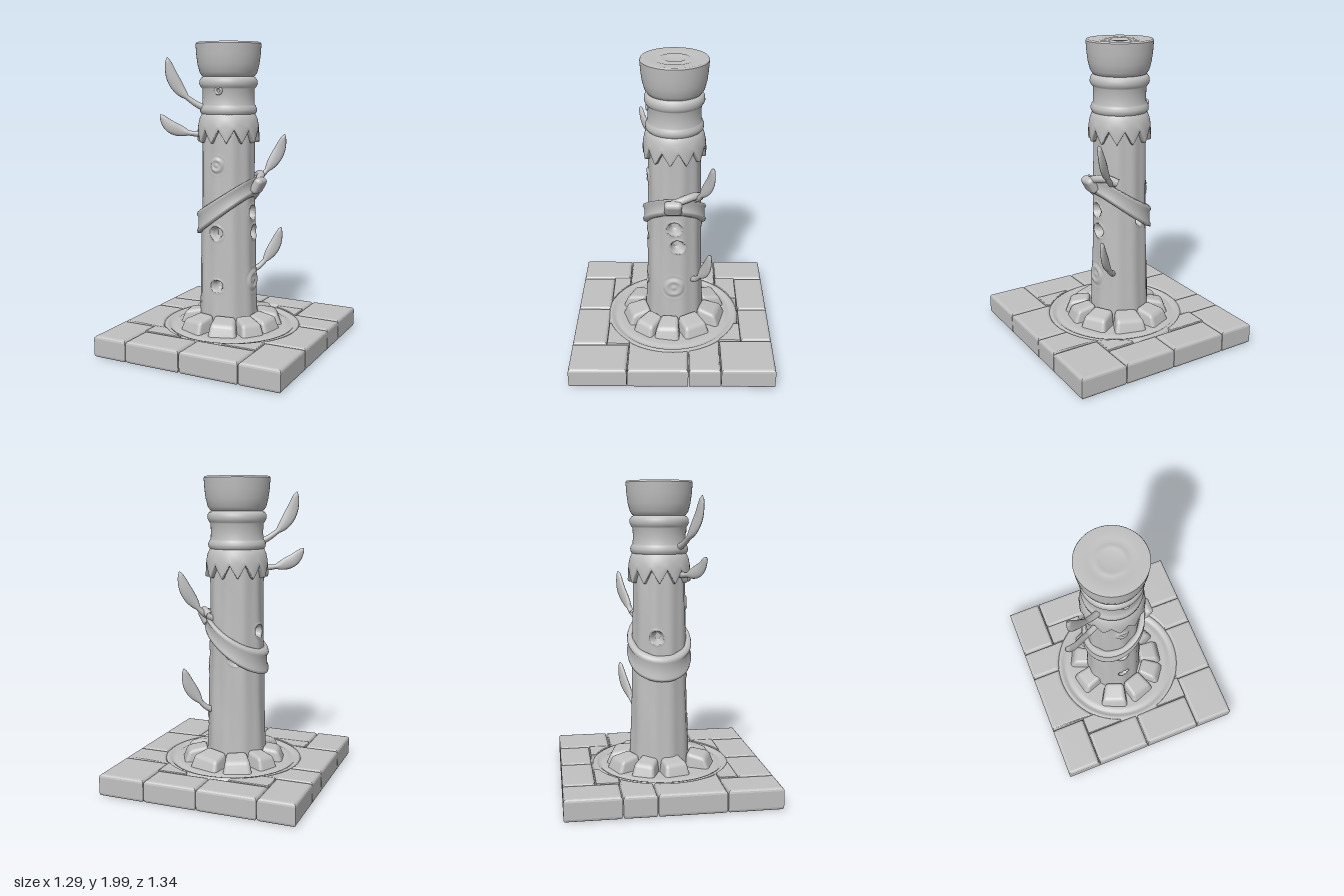
import * as THREE from 'three';
import { mergeVertices } from 'three/addons/utils/BufferGeometryUtils.js';
import { RoundedBoxGeometry } from 'three/addons/geometries/RoundedBoxGeometry.js';

const stone = new THREE.MeshStandardMaterial({ color: 0xc0c0c0 });
stone.name = 'plain grey';

const add = (parent, name, geometry) => {
  const mesh = new THREE.Mesh(geometry, stone);
  mesh.name = name;
  parent.add(mesh);
  return mesh;
};

// Moves every vertex by a rule and smooths the result
function reshape(geometry, rule) {
  geometry.deleteAttribute('uv');
  geometry.deleteAttribute('normal');
  const g = mergeVertices(geometry, 1e-5);
  const p = g.attributes.position, v = new THREE.Vector3();
  for (let i = 0; i < p.count; i++) {
    rule(v.fromBufferAttribute(p, i));
    p.setXYZ(i, v.x, v.y, v.z);
  }
  g.computeVertexNormals();
  return g;
}

const lathe = (profile, segments = 64) =>
  new THREE.LatheGeometry(profile.map(([r, y]) => new THREE.Vector2(r, y)), segments);

// Paving block from a plan outline in x and z
function paving(outline, bevel = 0.02) {
  const shape = new THREE.Shape(outline.map(([x, z]) => new THREE.Vector2(x, z)));
  const g = new THREE.ExtrudeGeometry(shape, {
    depth: 0.143 - bevel * 2, bevelThickness: bevel, bevelSize: bevel, bevelOffset: -bevel, bevelSegments: 3,
  });
  g.rotateX(Math.PI / 2);
  g.translate(0, 0.15 - bevel, 0);
  return g;
}

// Points along the plinth edge between two depths, on one side
const arc = (side, z0, z1) => Array.from({ length: 13 }, (_, i) => {
  const z = z0 + (z1 - z0) * i / 12;
  return [side * Math.sqrt(0.45 ** 2 - z * z), z];
});

// Leaf on a stem: flat oval sections swept along a curve in an upright plane
function leaf(points) {
  const curve = new THREE.CatmullRomCurve3(points.map((p) => new THREE.Vector3(...p)));
  const side = new THREE.Vector3().subVectors(curve.getPoint(1), curve.getPoint(0)).setY(0)
    .normalize().cross(new THREE.Vector3(0, 1, 0));
  const rows = 28, cols = 12, pos = [], index = [];
  for (let i = 0; i <= rows; i++) {
    const t = i / rows, p = curve.getPoint(t);
    const up = side.clone().cross(curve.getTangent(t)).normalize();
    const blade = t < 0.35 || i === rows ? 0 : Math.pow(Math.sin(Math.PI * (t - 0.35) / 0.65), 0.6);
    const width = i === rows ? 0.002 : Math.max(0.023 * (1 - t * 0.8), 0.041 * blade);
    const thick = i === rows ? 0.002 : 0.022 - 0.009 * t;
    for (let j = 0; j < cols; j++) {
      const a = (j / cols) * Math.PI * 2;
      const q = p.clone().addScaledVector(side, Math.cos(a) * thick).addScaledVector(up, Math.sin(a) * width);
      pos.push(q.x, q.y, q.z);
      if (i < rows) {
        const b = i * cols + j, c = i * cols + (j + 1) % cols;
        index.push(b, b + cols, c, c, b + cols, c + cols);
      }
    }
  }
  for (let j = 1; j < cols - 1; j++) {
    index.push(0, j, j + 1);
    index.push(rows * cols, rows * cols + j + 1, rows * cols + j);
  }
  const g = new THREE.BufferGeometry();
  g.setAttribute('position', new THREE.Float32BufferAttribute(pos, 3));
  g.setIndex(index);
  g.computeVertexNormals();
  return g;
}

export function createModel() {
  const model = new THREE.Group();
  model.name = 'stonePost';

  // Square paved base
  const base = new THREE.Group();
  base.name = 'base';
  model.add(base);
  const X = 0.645, Z = 0.67;
  const rects = [
    [-X, -0.41, -Z, -0.32], [-0.405, -0.022, -Z, -0.465], [-0.018, 0.33, -Z, -0.465], [0.335, X, -Z, -0.32],
    [-X, -0.41, 0.322, Z], [-0.405, -0.027, 0.44, Z], [-0.02, 0.372, 0.44, Z], [0.377, X, 0.293, Z],
  ];
  for (const [x0, x1, z0, z1] of rects)
    add(base, 'pavingBlock', paving([[x0, z0], [x1, z0], [x1, z1], [x0, z1]]));
  for (const [s, z0, z1] of [[-1, -0.315, -0.11], [-1, -0.105, 0.317], [1, -0.315, -0.11], [1, -0.105, 0.288]])
    add(base, 'sidePavingBlock', paving([[s * X, z0], ...arc(s, z0, z1), [s * X, z1]]));

  // Corner infill between the paving and the plinth
  for (const [x, z0, z1] of [[-0.407, -0.316, -0.462], [0.332, -0.316, -0.462], [-0.407, 0.318, 0.438], [0.374, 0.289, 0.438]]) {
    const edge = arc(Math.sign(x), z0, Math.sign(z1) * 0.425);
    add(base, 'cornerInfill', paving([[x, z0], ...edge, [edge[12][0], z1], [x, z1]], 0.004));
  }

  // Round plinth with a raised rim
  add(base, 'plinth', lathe([[0, 0.02], [0.455, 0.02], [0.46, 0.03], [0.462, 0.12], [0.455, 0.138], [0.44, 0.147],
    [0.422, 0.142], [0.41, 0.132], [0.395, 0.132], [0.38, 0.14], [0.36, 0.142], [0, 0.142]], 96));

  // Rocks round the foot: x, z, width
  const rocks = [[-0.13, -0.265, 0.19], [0.06, -0.27, 0.21], [0.22, -0.14, 0.2], [0.25, 0.03, 0.17],
    [0.205, 0.165, 0.16], [0.065, 0.25, 0.2], [-0.125, 0.25, 0.19], [-0.26, 0.05, 0.18], [-0.25, -0.13, 0.16]];
  rocks.forEach(([x, z, w], i) => {
    const g = reshape(new RoundedBoxGeometry(w, 0.13, 0.17, 3, 0.03), (v) => {
      const top = (v.y + 0.065) / 0.13, out = (v.z + 0.085) / 0.17;
      v.x *= (1 - 0.2 * top) * (0.85 + 0.2 * out) + 0.06 * Math.sin(i * 2.3) * out;
      v.z -= 0.04 * top * out;
      v.y -= 0.025 * top * out + 0.08 * v.x * Math.sin(i * 1.7);
    });
    const rock = add(base, 'footRock', g);
    rock.position.set(x, 0.175, z);
    rock.rotation.y = Math.atan2(x + 0.02, z + 0.01);
  });

  const post = new THREE.Group();
  post.name = 'post';
  post.position.set(-0.03, 0, -0.012);
  model.add(post);

  // Trunk with hollows and raised knots: angle from front, y, radius, kind
  const marks = [[0, 0.78, 0.042, 'hole'], [0.05, 0.43, 0.037, 'hole'], [1.58, 0.905, 0.045, 'hole'],
    [1.7, 0.77, 0.045, 'hole'], [-1.8, 1.02, 0.04, 'hole'], [-2.85, 0.85, 0.04, 'hole'],
    [0, 1.22, 0.07, 'knot'], [1.56, 0.45, 0.1, 'knot']];
  const profile = [];
  for (let i = 0; i <= 180; i++)
    profile.push([0.169 + 0.028 * Math.pow(1 - i / 180, 2), 0.12 + 1.45 * i / 180]);
  add(post, 'trunk', reshape(lathe(profile, 120), (v) => {
    const a = Math.atan2(v.x, v.z), r = Math.hypot(v.x, v.z);
    let d = 0.003 * Math.cos(a * 10) + 0.002 * Math.sin(a * 4 + v.y * 9);
    for (const [angle, y, size, kind] of marks) {
      const da = Math.atan2(Math.sin(a - angle), Math.cos(a - angle));
      const t = Math.hypot(da * r, v.y - y) / size;
      if (kind === 'hole') {
        if (t < 1) d -= 0.06 * Math.min(1, (1 - t) * 4);
        else if (t < 1.4) d += 0.006 * (1.4 - t) / 0.4;
      } else if (t < 1) d += 0.007 + 0.004 * Math.cos(t * 4 * Math.PI) - 0.011 * t ** 4;
    }
    v.x *= (r + d) / r;
    v.z *= (r + d) / r;
  }));

  // Pointed fringe below the neck
  add(post, 'fringe', reshape(lathe([[0.16, 1.43], [0.192, 1.43], [0.203, 1.435], [0.198, 1.47], [0.19, 1.51],
    [0.175, 1.545], [0.15, 1.56], [0.15, 1.5], [0.16, 1.43]], 144), (v) => {
    const tooth = Math.abs(((Math.atan2(v.x, v.z) / (Math.PI * 2) * 12 + 12.25) % 1) * 2 - 1);
    if (v.y < 1.45) v.y += 0.015 - 0.085 * tooth;
  }));

  // Neck with two rings
  add(post, 'neck', lathe([[0.15, 1.53], [0.172, 1.54], [0.184, 1.555], [0.186, 1.575], [0.178, 1.595], [0.17, 1.605],
    [0.168, 1.65], [0.17, 1.705], [0.18, 1.715], [0.19, 1.735], [0.188, 1.76], [0.178, 1.775], [0.16, 1.785], [0.15, 1.8]]));
  const scar = add(post, 'neckKnot', new THREE.TorusGeometry(0.02, 0.009, 8, 20));
  scar.position.set(0.015, 1.695, 0.17);

  // Flared cap with a shallow ringed top
  add(post, 'cap', lathe([[0.14, 1.775], [0.17, 1.785], [0.187, 1.81], [0.2, 1.86], [0.208, 1.92], [0.213, 1.99]]));
  add(post, 'capTop', lathe([[0.213, 1.99], [0.207, 2], [0.13, 1.996], [0.11, 1.99], [0.095, 1.996], [0.07, 1.996],
    [0.055, 1.989], [0, 1.989]]));

  // Slanted sash with rolled edges
  add(post, 'sash', reshape(lathe([[0.155, -0.068], [0.19, -0.07], [0.207, -0.063], [0.211, -0.045], [0.201, -0.03], [0.2, 0.028],
    [0.211, 0.042], [0.206, 0.06], [0.188, 0.066], [0.155, 0.063], [0.155, -0.068]], 80), (v) => {
    v.y = v.y * (1 - 0.8 * v.x) + 0.935 + 0.68 * v.x + 0.4 * v.x * v.x;
  }));
  const knot = add(model, 'sashKnot', new RoundedBoxGeometry(0.06, 0.11, 0.115, 4, 0.026));
  knot.position.set(0.19, 1.085, -0.005);
  knot.rotation.z = -0.5;
  const strand = new THREE.CatmullRomCurve3([[0.185, 1.11, 0], [0.175, 1.135, -0.07], [0.14, 1.145, -0.14], [0.09, 1.12, -0.18]]
    .map((p) => new THREE.Vector3(...p)));
  add(model, 'sashEnd', new THREE.TubeGeometry(strand, 24, 0.026, 10));

  // Leaves on short stems
  const leaves = [
    [[-0.13, 1.57, 0.08], [-0.21, 1.615, 0.12], [-0.285, 1.685, 0.155], [-0.335, 1.78, 0.185], [-0.365, 1.905, 0.2]],
    [[-0.13, 1.42, 0.08], [-0.2, 1.415, 0.115], [-0.28, 1.43, 0.155], [-0.35, 1.465, 0.195], [-0.41, 1.54, 0.22]],
    [[0.08, 1.09, -0.12], [0.14, 1.13, -0.165], [0.19, 1.2, -0.2], [0.235, 1.29, -0.235], [0.27, 1.405, -0.25]],
    [[0.08, 0.48, -0.12], [0.13, 0.51, -0.16], [0.18, 0.58, -0.195], [0.22, 0.66, -0.225], [0.25, 0.775, -0.245]],
  ];
  for (const points of leaves) add(model, 'leaf', leaf(points));

  return model;
}
